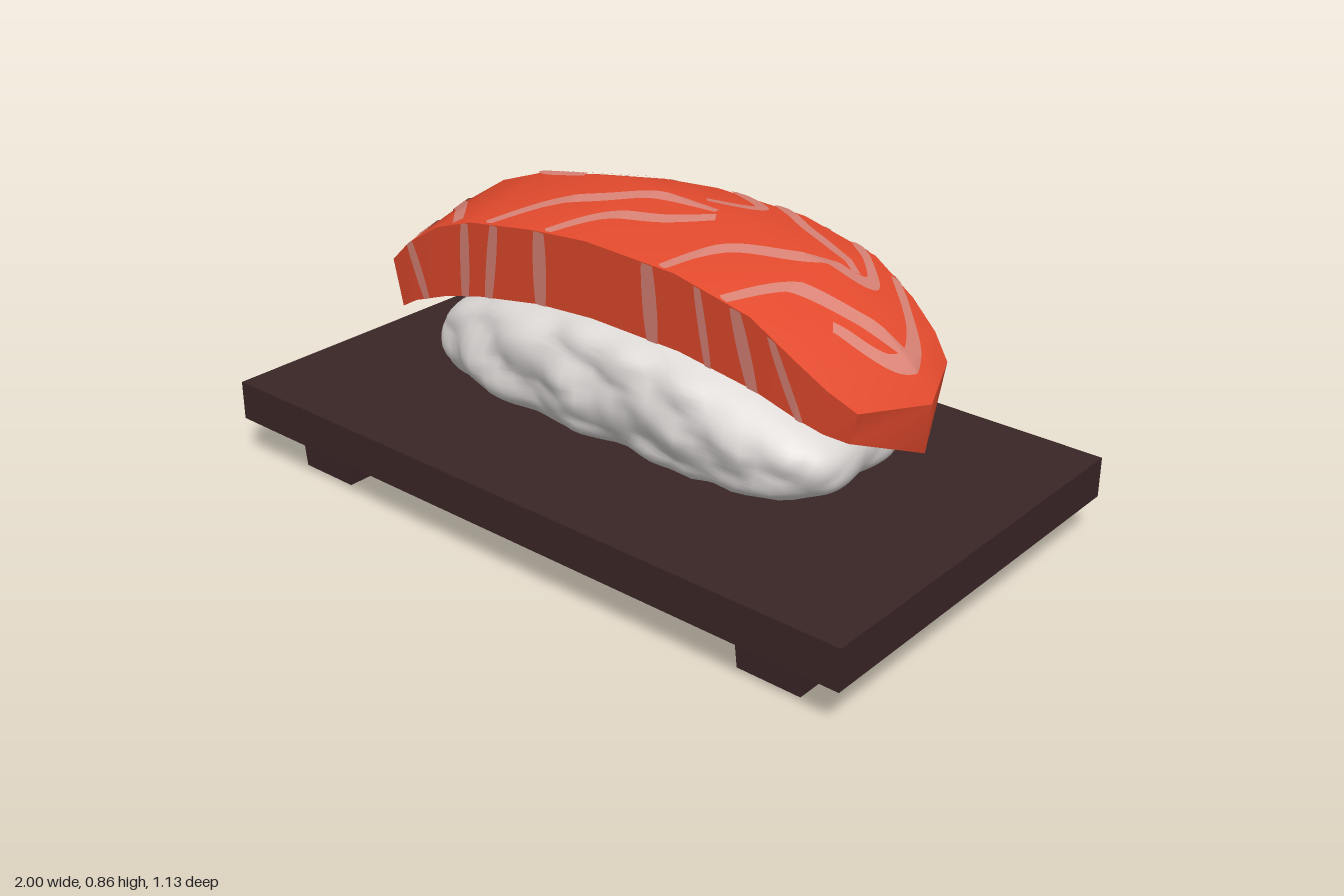
import * as THREE from 'three';
import { mergeVertices } from 'three/addons/utils/BufferGeometryUtils.js';

const mat = (name, color, side = THREE.FrontSide) => {
  const m = new THREE.MeshStandardMaterial({ color, side });
  m.name = name;
  return m;
};

// Surface through rows of points; faces point along column x row.
function grid(rows) {
  const n = rows[0].length, index = [];
  for (let i = 0; i < rows.length - 1; i++)
    for (let j = 0; j < n - 1; j++) {
      const a = i * n + j, b = a + 1, c = a + n, d = c + 1;
      index.push(a, b, c, b, d, c);
    }
  const g = new THREE.BufferGeometry().setFromPoints(rows.flat());
  g.setIndex(index);
  g.computeVertexNormals();
  return g;
}

// Box whose bottom is scaled relative to its top.
function taperedBox(w, d, y0, y1, sx, sz) {
  const g = new THREE.BoxGeometry(w, y1 - y0, d);
  g.translate(0, (y0 + y1) / 2, 0);
  const p = g.attributes.position;
  for (let i = 0; i < p.count; i++)
    if (p.getY(i) < (y0 + y1) / 2) p.setXYZ(i, p.getX(i) * sx, p.getY(i), p.getZ(i) * sz);
  g.computeVertexNormals();
  return g;
}

// Fish slice stations: ridge x, y; top edge x, y; bottom edge x, y; bottom middle y; half width
const STATIONS = [
  [-0.82, 0.55, -0.74, 0.56, -0.73, 0.42, 0.4, 0.22],
  [-0.7, 0.67, -0.66, 0.63, -0.66, 0.46, 0.46, 0.235],
  [-0.55, 0.765, -0.53, 0.71, -0.53, 0.51, 0.51, 0.245],
  [-0.4, 0.82, -0.4, 0.755, -0.4, 0.545, 0.545, 0.25],
  [-0.18, 0.86, -0.18, 0.79, -0.18, 0.585, 0.585, 0.255],
  [0, 0.86, 0, 0.805, 0, 0.597, 0.597, 0.255],
  [0.28, 0.835, 0.28, 0.795, 0.28, 0.59, 0.59, 0.255],
  [0.52, 0.79, 0.5, 0.745, 0.5, 0.555, 0.555, 0.25],
  [0.66, 0.695, 0.62, 0.67, 0.62, 0.515, 0.5, 0.24],
  [0.77, 0.605, 0.7, 0.61, 0.68, 0.49, 0.44, 0.22],
  [0.825, 0.53, 0.76, 0.56, 0.73, 0.47, 0.4, 0.185],
];

// Ring: back top, ridge, front top, front bottom, bottom middle, back bottom
function ring([xr, yr, xe, ye, xb, yb, ym, w]) {
  const V = (x, y, z) => new THREE.Vector3(x, y, z);
  return [V(xe, ye, -w), V(xr, yr, -0.02), V(xe, ye, w),
    V(xb, yb, w * 0.92), V(xr - Math.sign(xr) * 0.01, ym, -0.02), V(xb, yb, -w * 0.92)];
}

// Point on one face of the slice; cols lists ring corners, t runs across them.
function slicePoint(x, t, cols) {
  let i = 0;
  while (i < STATIONS.length - 2 && x > STATIONS[i + 1][2]) i++;
  const A = STATIONS[i], B = STATIONS[i + 1];
  const f = THREE.MathUtils.clamp((x - A[2]) / (B[2] - A[2]), 0, 1);
  const r = ring(A.map((v, k) => v + (B[k] - v) * f));
  t = THREE.MathUtils.clamp(t, 0, cols.length - 1);
  const j = Math.min(Math.floor(t), cols.length - 2);
  return r[cols[j]].clone().lerp(r[cols[j + 1]], t - j);
}

// Thin fat stripe along a 2D path on a face; unit is the length of one t step.
function ribbon(path, width, cols, unit, lift) {
  const curve = new THREE.SplineCurve(path.map(([x, t]) => new THREE.Vector2(x, t * unit)));
  const rows = [], N = 60;
  for (let i = 0; i <= N; i++) {
    const p = curve.getPoint(i / N), d = curve.getTangent(i / N);
    const w = width * (0.75 + 0.25 * Math.sin(Math.PI * i / N));
    rows.push([-0.5, -0.25, 0, 0.25, 0.5].map((k) =>
      slicePoint(p.x - d.y * w * k, (p.y + d.x * w * k) / unit, cols).add(lift)));
  }
  return grid(rows);
}

// Lumpy rounded block of rice
function riceGeometry() {
  let seed = 7;
  const rnd = () => (seed = (seed * 16807) % 2147483647) / 2147483647;
  const lumps = Array.from({ length: 130 }, () =>
    new THREE.Vector3((rnd() - 0.5) * 1.4, 0.22 + rnd() * 0.4, (rnd() < 0.5 ? -1 : 1) * (0.12 + rnd() * 0.16)));
  let g = new THREE.IcosahedronGeometry(1, 18);
  g.deleteAttribute('uv');
  g.deleteAttribute('normal');
  g = mergeVertices(g, 1e-4);
  const p = g.attributes.position, v = new THREE.Vector3(), n = new THREE.Vector3();
  for (let i = 0; i < p.count; i++) {
    n.fromBufferAttribute(p, i);
    const k = Math.pow(n.x ** 4 + n.y ** 4 + n.z ** 4, -0.25);
    v.copy(n).multiplyScalar(k);
    const h = (v.y + 1) / 2, s = 0.9 + 0.1 * Math.sin(Math.PI * Math.min(1, h * 0.8));
    v.x = v.x * 0.675 * s;
    v.z = v.z * 0.265 * s;
    v.y = 0.225 + h * (0.365 - 0.28 * v.x * v.x);
    // bumps with creases between the nearest lumps
    const near = lumps.reduce((m, c) => Math.min(m, c.distanceTo(v)), 1);
    const bump = 0.022 - 0.3 * Math.min(near, 0.15);
    v.x += n.x * bump * 0.8 + 0.015;
    v.z += n.z * bump * 1.6;
    p.setXYZ(i, v.x, Math.max(0.225, v.y), v.z);
  }
  g.computeVertexNormals();
  return g;
}

export function createModel() {
  const model = new THREE.Group();
  const wood = mat('dark wood', 0x3a2526);
  const rice = mat('rice white', 0xdedad8);
  const fish = mat('fish orange', 0xe34a2d);
  const fat = mat('fat pink', 0xd98275, THREE.DoubleSide);
  const add = (parent, name, geo, m, x = 0, z = 0) => {
    const mesh = new THREE.Mesh(geo, m);
    mesh.name = name;
    mesh.position.set(x, 0, z);
    parent.add(mesh);
  };
  const group = (name) => {
    const g = new THREE.Group();
    g.name = name;
    model.add(g);
    return g;
  };

  // Serving board with two runners and four feet
  const board = group('board');
  add(board, 'boardTop', taperedBox(2, 1.13, 0.125, 0.235, 1, 1), wood);
  add(board, 'boardUnderside', taperedBox(2, 1.13, 0.105, 0.125, 0.89, 0.88), wood);
  for (const sx of [-1, 1]) {
    add(board, 'runner', taperedBox(0.16, 0.8, 0.027, 0.11, 0.96, 1), wood, sx * 0.755);
    for (const sz of [-1, 1])
      add(board, 'foot', taperedBox(0.2, 0.11, 0, 0.11, 0.9, 0.95), wood, sx * 0.755, sz * 0.432);
  }

  // Rice
  add(model, 'rice', riceGeometry(), rice);

  // Fish slice, one mesh per face so its edges stay sharp
  const slice = group('fishSlice');
  const rings = STATIONS.map(ring);
  const TOP = [0, 1, 2], FRONT = [2, 3], BOTTOM = [3, 4, 5], BACK = [5, 0];
  const strip = (cols) => grid(rings.map((r) => cols.map((c) => r[c])));
  add(slice, 'sliceTop', strip(TOP), fish);
  add(slice, 'sliceFront', strip(FRONT), fish);
  add(slice, 'sliceBottom', strip(BOTTOM), fish);
  add(slice, 'sliceBack', strip(BACK), fish);
  const cap = (r, pairs) => grid(pairs.map((q) => q.map((c) => r[c])));
  add(slice, 'leftEnd', cap(rings[rings.length - 1], [[5, 0], [4, 1], [3, 2]]), fish);
  add(slice, 'rightEnd', cap(rings[0], [[0, 5], [1, 4], [2, 3]]), fish);

  // Fat stripes on top, as x, z paths
  const topStripes = [
    [[-0.64, -0.23], [-0.71, -0.1], [-0.71, 0.05], [-0.62, 0.24]],
    [[-0.47, -0.24], [-0.58, -0.13], [-0.67, 0], [-0.56, 0.13], [-0.46, 0.24]],
    [[-0.2, -0.25], [-0.3, -0.13], [-0.4, -0.01], [-0.24, 0]],
    [[-0.34, 0.25], [-0.24, 0.15], [-0.1, 0.08], [0.02, 0.02], [0.18, -0.01]],
    [[-0.13, 0.25], [-0.04, 0.15], [0.1, 0.09], [0.2, 0.02]],
    [[0.06, -0.25], [0.2, -0.17], [0.1, -0.07]],
    [[0.2, -0.25], [0.32, -0.18], [0.42, -0.14], [0.53, -0.09]],
    [[0.44, -0.25], [0.56, -0.12], [0.46, 0], [0.31, 0.1], [0.24, 0.25]],
    [[0.57, -0.24], [0.67, -0.12], [0.69, 0.04], [0.6, 0.11]],
    [[0.42, 0.25], [0.49, 0.12], [0.62, 0.03], [0.7, -0.02]],
  ];
  for (const s of topStripes)
    add(slice, 'topStripe', ribbon(s.map(([x, z]) => [x, 1 + z / 0.25]), 0.036, TOP, 0.25,
      new THREE.Vector3(0, 0.005, 0)), fat);

  // Fat stripes down the sides: x at the top, x at the bottom, width
  const sideStripes = [[-0.65, -0.61, 0.03], [-0.42, -0.45, 0.035], [-0.31, -0.36, 0.035],
    [-0.15, -0.17, 0.045], [0.2, 0.2, 0.045], [0.35, 0.37, 0.025], [0.46, 0.5, 0.04], [0.56, 0.63, 0.03]];
  for (const [a, b, w] of sideStripes) {
    add(slice, 'frontStripe', ribbon([[a, 0], [b, 1]], w, FRONT, 0.2, new THREE.Vector3(0, 0, 0.004)), fat);
    add(slice, 'backStripe', ribbon([[b, 0], [a, 1]], w, BACK, 0.2, new THREE.Vector3(0, 0, -0.004)), fat);
  }
  return model;
}
